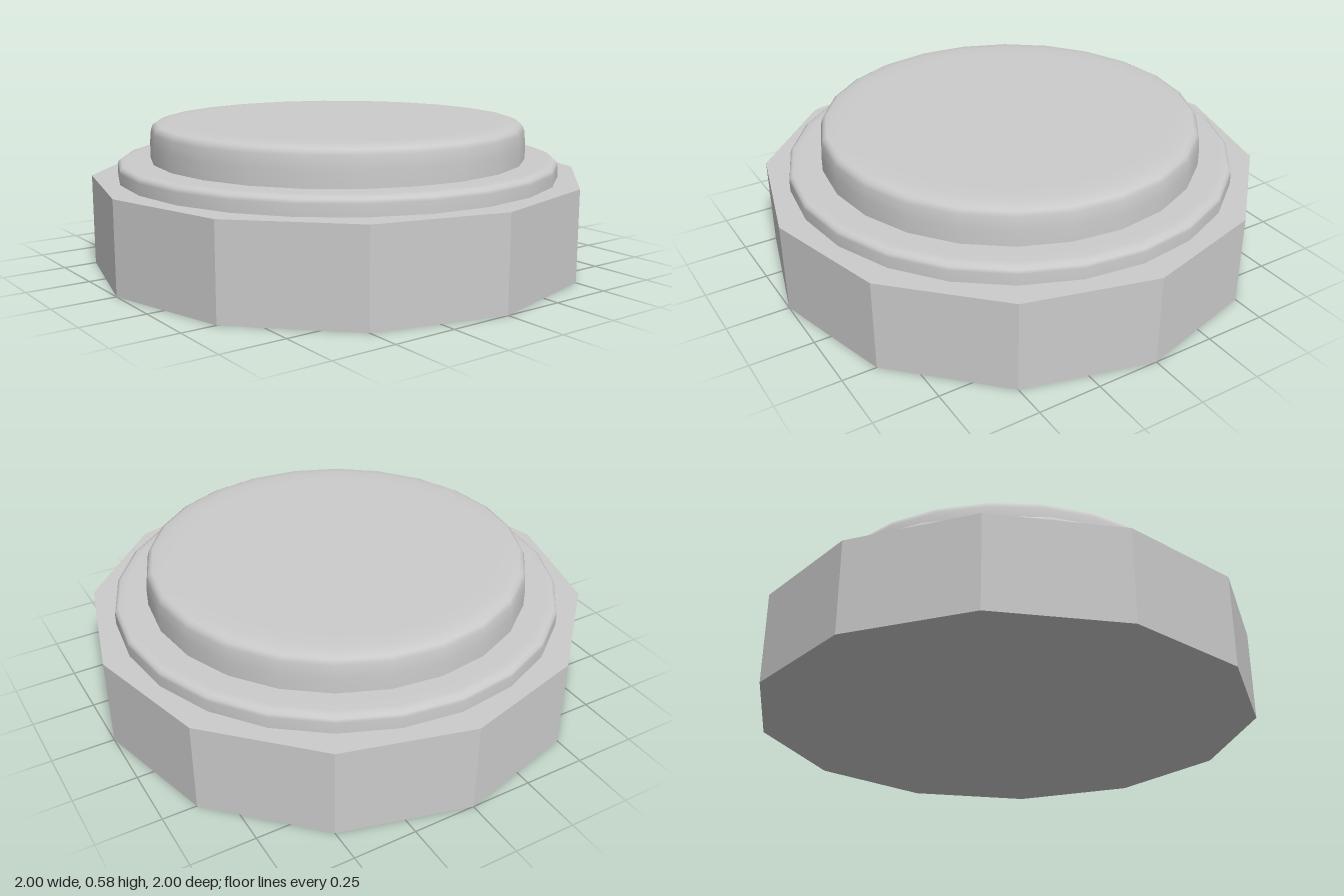
import * as THREE from 'three';

export function createModel() {
  const group = new THREE.Group();
  const add = (name, geometry, flatShading) => {
    const material = new THREE.MeshStandardMaterial({ color: 0xcccccc, flatShading });
    const mesh = new THREE.Mesh(geometry, material);
    mesh.name = name;
    group.add(mesh);
  };
  // Smooth 24-sided turned part, profile as [radius, height] from bottom to top
  const turned = (name, profile) =>
    add(name, new THREE.LatheGeometry(profile.map(([r, y]) => new THREE.Vector2(r, y)), 24), false);

  // Faceted twelve-sided base
  const base = new THREE.CylinderGeometry(1, 1, 0.365, 12);
  base.translate(0, 0.1825, 0);
  add('base', base, true);

  // Low collar with a softened rim
  turned('collar', [
    [0.895, 0.36], [0.895, 0.41], [0.892, 0.424], [0.88, 0.432], [0.85, 0.435], [0.7, 0.435],
  ]);

  // Raised button with a rounded edge and closed top
  turned('button', [
    [0.763, 0.42], [0.763, 0.5], [0.758, 0.55], [0.75, 0.57],
    [0.735, 0.578], [0.69, 0.583], [0.62, 0.585], [0, 0.585],
  ]);

  return group;
}
